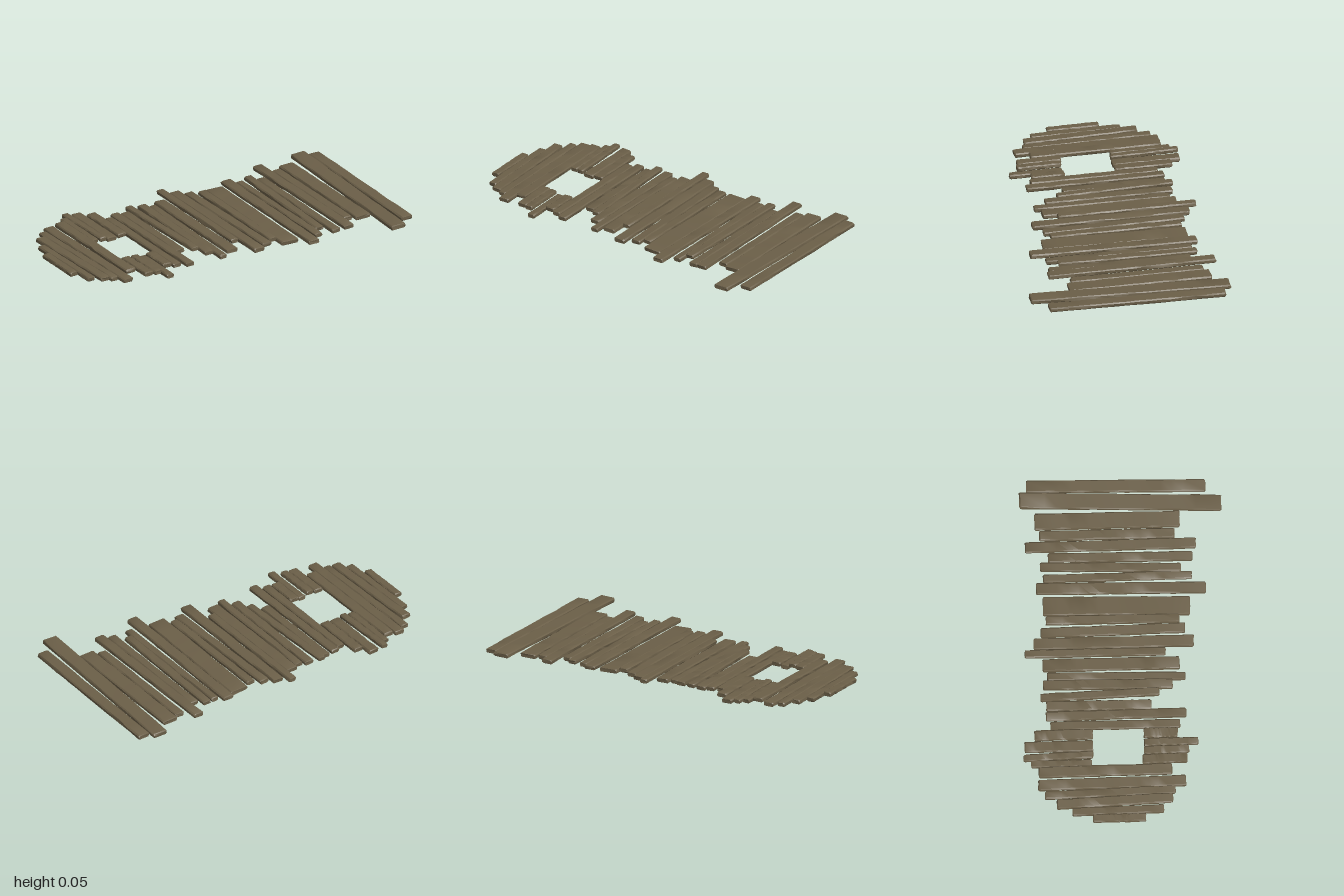
import * as THREE from 'three';
import { toCreasedNormals } from 'three/addons/utils/BufferGeometryUtils.js';

const THICK = 0.026;

// Planks: [x at back, x at front, width, z back, z front, height of centre]
const headPlanks = [
  [-0.976, -0.976, 0.046, -0.19, 0.10, 0.027],
  [-0.935, -0.925, 0.046, -0.30, 0.20, 0.023],
  [-0.890, -0.865, 0.056, -0.385, 0.25, 0.028],
  [-0.835, -0.815, 0.046, -0.45, 0.265, 0.022],
  [-0.775, -0.765, 0.062, -0.485, 0.325, 0.024],
  [-0.705, -0.700, 0.062, -0.48, 0.25, 0.036],
];
// Short planks on either side of the square opening
const openingPlanks = [
  [-0.655, -0.655, 0.042, -0.52, -0.19, 0.031],
  [-0.620, -0.606, 0.040, -0.56, -0.18, 0.036],
  [-0.552, -0.552, 0.062, -0.555, -0.18, 0.024],
  [-0.488, -0.485, 0.058, -0.50, -0.18, 0.030],
  [-0.640, -0.635, 0.055, 0.09, 0.335, 0.035],
  [-0.588, -0.585, 0.046, 0.10, 0.345, 0.037],
  [-0.537, -0.535, 0.044, 0.10, 0.395, 0.021],
  [-0.485, -0.485, 0.055, 0.10, 0.285, 0.030],
];
const walkwayPlanks = [
  [-0.432, -0.432, 0.050, -0.41, 0.30, 0.024],
  [-0.378, -0.370, 0.052, -0.435, 0.335, 0.028],
  [-0.315, -0.315, 0.055, -0.43, 0.145, 0.020],
  [-0.270, -0.245, 0.046, -0.46, 0.19, 0.034],
  [-0.195, -0.200, 0.056, -0.445, 0.265, 0.029],
  [-0.143, -0.155, 0.046, -0.42, 0.335, 0.022],
  [-0.080, -0.078, 0.072, -0.445, 0.305, 0.027],
  [-0.015, -0.015, 0.046, -0.54, 0.23, 0.040],
  [0.045, 0.047, 0.066, -0.49, 0.385, 0.032],
  [0.110, 0.125, 0.056, -0.45, 0.34, 0.028],
  [0.180, 0.180, 0.050, -0.42, 0.31, 0.032],
  [0.268, 0.255, 0.108, -0.435, 0.37, 0.021],
  [0.367, 0.355, 0.066, -0.47, 0.46, 0.032],
  [0.428, 0.432, 0.046, -0.43, 0.385, 0.025],
  [0.492, 0.475, 0.050, -0.445, 0.325, 0.033],
  [0.547, 0.542, 0.052, -0.40, 0.39, 0.027],
  [0.605, 0.612, 0.060, -0.525, 0.41, 0.041],
  [0.677, 0.677, 0.056, -0.445, 0.295, 0.028],
  [0.757, 0.757, 0.092, -0.47, 0.325, 0.032],
];
const endPlanks = [
  [0.882, 0.842, 0.090, -0.55, 0.555, 0.039],
  [0.963, 0.948, 0.070, -0.51, 0.47, 0.034],
];

const hash = (a, b, c, seed) => {
  const s = Math.sin(a * 12.99 + b * 78.23 + c * 37.72 + seed * 4.13) * 43758.5;
  return s - Math.floor(s) - 0.5;
};

// Chamfered plank with worn, slightly uneven edges
function plankGeometry([xb, xf, w, zb, zf], seed) {
  const rows = 16, len = zf - zb, chamfer = 0.006;
  const g = new THREE.CylinderGeometry(1, 1, 2, 8, rows, false, Math.PI / 8);
  g.rotateX(Math.PI / 2);
  const p = g.attributes.position;
  const edge = (v, half) => {
    const m = Math.abs(v);
    return Math.sign(v) * (m < 0.1 ? 0 : m < 0.6 ? half - chamfer : half);
  };
  for (let i = 0; i < p.count; i++) {
    const x = p.getX(i), y = p.getY(i), t = p.getZ(i);
    const k = [x, y, t].map(v => Math.round(v * 100));
    const a = Math.abs(t);
    const end = a > 0.99;
    // the second row sits close to the end to bevel it
    const s = !end && a > 0.86 ? 1 - 0.012 / len : a;
    const z = Math.sign(t) * s * len / 2;
    const inset = end ? 0.003 : 0;
    const px = edge(x, w / 2 - inset) + hash(...k, seed) * 0.004;
    const py = edge(y, THICK / 2 - inset) + hash(...k, seed + 50) * 0.002;
    const lean = (xf - xb) * z / len;
    p.setXYZ(i, px + lean, py, z + (end ? hash(...k, seed + 90) * 0.005 : 0));
  }
  return toCreasedNormals(g, 0.6);
}

export function createModel() {
  const model = new THREE.Group();
  model.name = 'plankWalkway';
  const wood = new THREE.MeshStandardMaterial({ color: 0x6b5f48 });
  let seed = 1;

  const addSection = (name, planks) => {
    const section = new THREE.Group();
    section.name = name;
    planks.forEach((d, i) => {
      const plank = new THREE.Mesh(plankGeometry(d, seed++), wood);
      plank.name = `plank${i + 1}`;
      plank.position.set((d[0] + d[1]) / 2, d[5], (d[3] + d[4]) / 2);
      // a slight tip and roll, as loosely laid boards have
      plank.rotation.x = hash(seed, 1, 2, 3) * 0.008;
      plank.rotation.z = hash(seed, 4, 5, 6) * 0.06;
      section.add(plank);
    });
    model.add(section);
  };

  addSection('roundedHead', headPlanks);
  addSection('openingSurround', openingPlanks);
  addSection('walkway', walkwayPlanks);
  addSection('endPlanks', endPlanks);
  return model;
}
